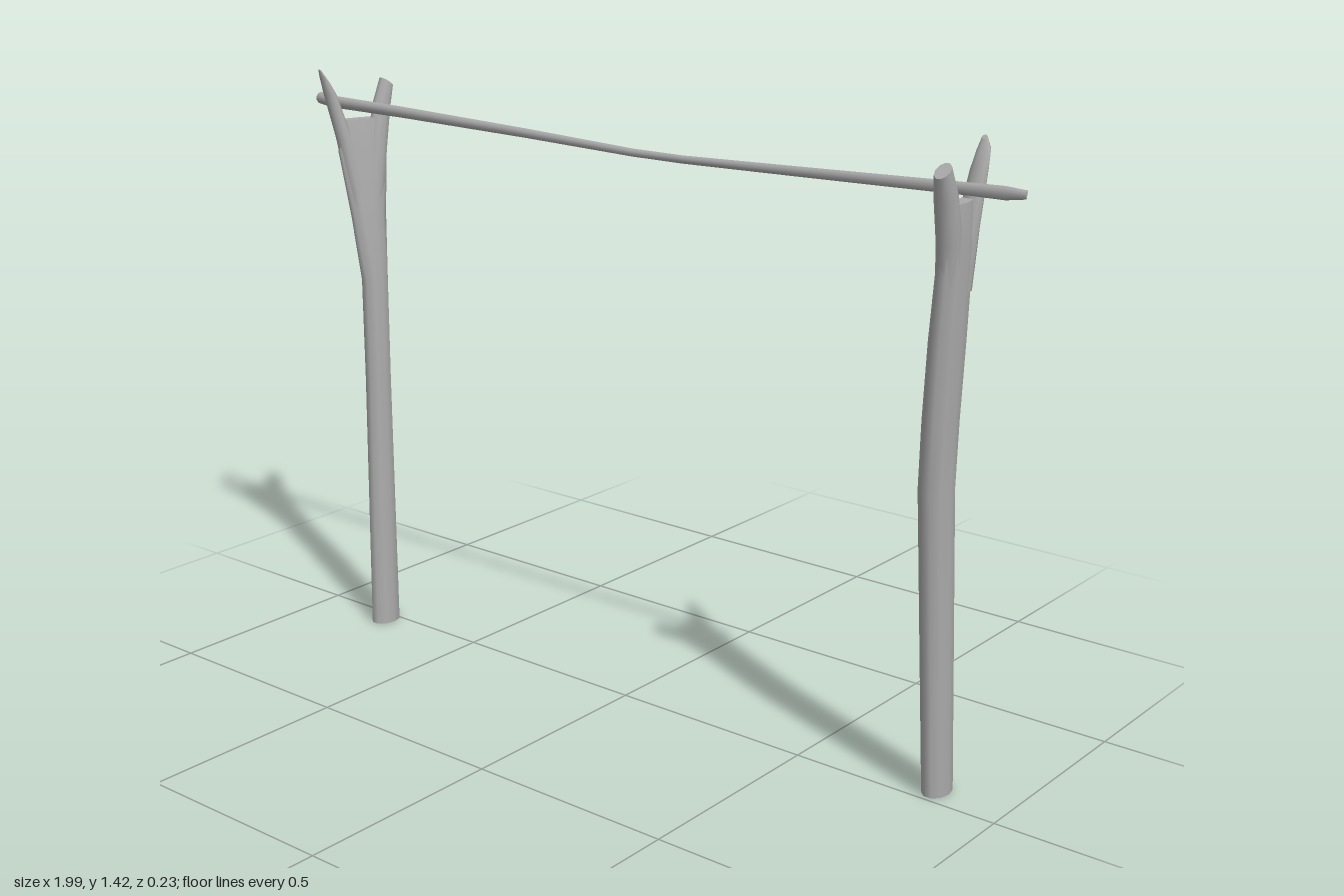
import * as THREE from 'three';

const SIDES = 10;

// Skin through rings stacked along y.
// Ring: [x, y, z, radiusX, radiusZ, turn, slope]; slope tilts the ring along z.
// notch pushes the cap centres inward for split ends.
function limb(rings, notch = 0) {
  const pos = [], index = [];
  const point = ([x, y, z, rx, rz, turn = 0, slope = 0], i) => {
    const a = (i / SIDES) * Math.PI * 2;
    const u = Math.cos(a) * rx, v = Math.sin(a) * rz;
    const dz = v * Math.cos(turn) - u * Math.sin(turn);
    return [x + u * Math.cos(turn) + v * Math.sin(turn), y + slope * dz, z + dz];
  };
  rings.forEach((ring, r) => {
    for (let i = 0; i < SIDES; i++) {
      pos.push(...point(ring, i));
      if (r === rings.length - 1) continue;
      const a = r * SIDES + i, b = r * SIDES + (i + 1) % SIDES;
      index.push(a, a + SIDES, b, b, a + SIDES, b + SIDES);
    }
  });
  // End caps with their own vertices so the rims stay sharp
  [[rings[0], false], [rings[rings.length - 1], true]].forEach(([ring, top]) => {
    const c = pos.length / 3;
    pos.push(ring[0], ring[1] + (top ? -notch : notch), ring[2]);
    for (let i = 0; i < SIDES; i++) pos.push(...point(ring, i));
    for (let i = 0; i < SIDES; i++) {
      const a = c + 1 + i, b = c + 1 + (i + 1) % SIDES;
      index.push(c, top ? b : a, top ? a : b);
    }
  });
  const g = new THREE.BufferGeometry();
  g.setAttribute('position', new THREE.Float32BufferAttribute(pos, 3));
  g.setIndex(index);
  g.computeVertexNormals();
  return g;
}

export function createModel() {
  const model = new THREE.Group();
  const wood = new THREE.MeshStandardMaterial({ color: 0xaaaaaa });
  wood.name = 'grey wood';

  const add = (parent, name, rings, notch) => {
    const mesh = new THREE.Mesh(limb(rings, notch), wood);
    mesh.name = name;
    parent.add(mesh);
    return mesh;
  };
  const post = (name, trunk, bluntProng, pointedProng) => {
    const group = new THREE.Group();
    group.name = name;
    add(group, 'trunk', trunk);
    add(group, 'bluntProng', bluntProng);
    add(group, 'pointedProng', pointedProng);
    model.add(group);
  };

  // Post on the model's left
  post('leftPost', [
    [0.83, 0, -0.052, 0.03, 0.043],
    [0.82, 0.7, -0.008, 0.034, 0.048],
    [0.826, 0.85, -0.002, 0.034, 0.049],
    [0.835, 1.02, 0.002, 0.033, 0.051],
    [0.85, 1.22, 0.011, 0.028, 0.058, 0.1],
    [0.855, 1.305, 0.014, 0.018, 0.052, 0.1],
  ], [
    [0.846, 1.14, 0.028, 0.024, 0.03],
    [0.853, 1.23, 0.042, 0.025, 0.03, 0, -0.2],
    [0.859, 1.32, 0.072, 0.023, 0.025, 0, -0.5],
    [0.864, 1.377, 0.097, 0.017, 0.018, 0, -0.75],
  ], [
    [0.845, 1.12, -0.018, 0.025, 0.026],
    [0.853, 1.25, -0.026, 0.025, 0.021],
    [0.857, 1.36, -0.053, 0.02, 0.014],
    [0.858, 1.395, -0.065, 0.016, 0.01, 0, -0.8],
    [0.853, 1.42, -0.075, 0.006, 0.004, 0, -0.9],
  ]);

  // Post on the model's right
  post('rightPost', [
    [-0.785, 0, 0.03, 0.031, 0.041],
    [-0.809, 0.65, 0.004, 0.028, 0.037],
    [-0.819, 0.9, -0.006, 0.028, 0.038],
    [-0.837, 1.06, -0.01, 0.026, 0.048, -0.2],
    [-0.857, 1.22, -0.016, 0.023, 0.066, -0.3],
    [-0.865, 1.295, -0.018, 0.016, 0.058, -0.35],
  ], [
    [-0.836, 1.1, -0.03, 0.022, 0.026],
    [-0.845, 1.23, -0.055, 0.022, 0.029, 0, 0.2],
    [-0.85, 1.32, -0.078, 0.02, 0.024, 0, 0.5],
    [-0.851, 1.377, -0.098, 0.017, 0.017, 0, 0.75],
  ], [
    [-0.825, 0.93, 0.008, 0.022, 0.022],
    [-0.852, 1.12, 0.014, 0.023, 0.022],
    [-0.875, 1.25, 0.027, 0.021, 0.02],
    [-0.893, 1.36, 0.052, 0.018, 0.013],
    [-0.9, 1.395, 0.062, 0.013, 0.009, 0, 0.8],
    [-0.905, 1.417, 0.07, 0.005, 0.004, 0, 0.9],
  ]);

  // Sagging crossbar: built upright, then laid along x
  const bar = add(model, 'crossbar', [
    [-1.335, -0.99, -0.008, 0.015, 0.012, 0, -0.5],
    [-1.33, -0.95, -0.006, 0.015, 0.012],
    [-1.327, -0.7, -0.004, 0.0135, 0.011],
    [-1.318, -0.3, -0.002, 0.011, 0.009],
    [-1.308, 0.02, 0, 0.009, 0.008],
    [-1.308, 0.16, 0, 0.009, 0.008],
    [-1.318, 0.5, 0.002, 0.011, 0.008],
    [-1.329, 0.86, 0.003, 0.013, 0.008],
    [-1.331, 0.95, 0.004, 0.014, 0.009],
    [-1.333, 0.995, 0.004, 0.009, 0.007, 0, 0.4],
  ], 0.015);
  bar.rotation.z = -Math.PI / 2;

  return model;
}
